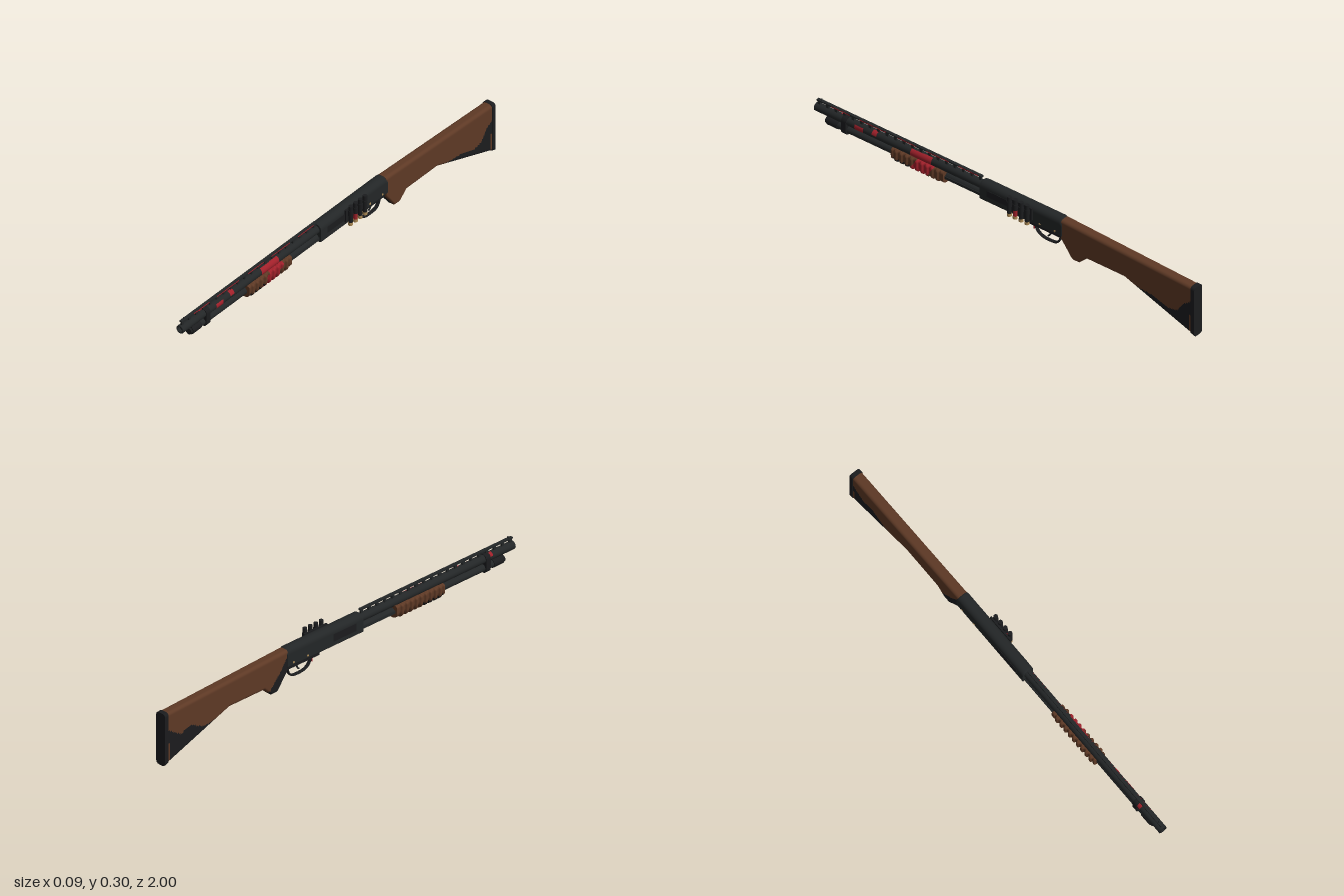
import * as THREE from 'three';

const CX = -0.011; // centre line of the gun
const material = (name, color) => {
  const m = new THREE.MeshStandardMaterial({ color, side: THREE.DoubleSide });
  m.name = name;
  return m;
};

// Value of a piecewise-linear curve given as [z, y] points with falling z
function curve(points, z) {
  if (z >= points[0][0]) return points[0][1];
  for (let i = 1; i < points.length; i++) {
    const [z0, y0] = points[i - 1], [z1, y1] = points[i];
    if (z >= z1) return y0 + (y1 - y0) * (z - z0) / (z1 - z0);
  }
  return points[points.length - 1][1];
}

// Rounded rectangle section, counter-clockwise seen from +z
function section(z, w, y0, y1, rBottom, rTop) {
  const out = [], n = 6;
  const corners = [[1, -1, rBottom, -90], [1, 1, rTop, 0], [-1, 1, rTop, 90], [-1, -1, rBottom, 180]];
  const arcs = corners.map(([sx, sy, r, start]) => {
    const arc = [];
    for (let i = 0; i <= n; i++) {
      const a = THREE.MathUtils.degToRad(start + 90 * i / n);
      arc.push(new THREE.Vector3(CX + sx * (w - r) + r * Math.cos(a), (sy < 0 ? y0 + r : y1 - r) + r * Math.sin(a), z));
    }
    return arc;
  });
  arcs.forEach((arc, k) => {
    out.push(...arc);
    const next = arcs[(k + 1) % 4][0], steps = k % 2 ? 4 : 24;
    for (let i = 1; i < steps; i++) out.push(arc[n].clone().lerp(next, i / steps));
  });
  return out;
}

// Skin through sections of rising z; rule picks a material slot for each face
function loft(rings, mats, rule = () => 0) {
  const n = rings[0].length, verts = rings.flat(), slots = mats.map(() => []);
  for (let i = 0; i < rings.length - 1; i++) for (let j = 0; j < n; j++) {
    const k = (j + 1) % n, a = i * n + j, b = i * n + k, c = b + n, d = a + n;
    const mid = verts[a].clone().add(verts[c]).multiplyScalar(0.5);
    slots[rule(mid)].push(a, b, c, a, c, d);
  }
  [rings[0], rings[rings.length - 1]].forEach((ring, end) => {
    const base = verts.length;
    verts.push(...ring);
    for (let j = 1; j < n - 1; j++) slots[0].push(base, base + (end ? j : j + 1), base + (end ? j + 1 : j));
  });
  const g = new THREE.BufferGeometry().setFromPoints(verts);
  g.setIndex(slots.flat());
  let start = 0;
  slots.forEach((s, i) => { g.addGroup(start, s.length, i); start += s.length; });
  g.computeVertexNormals();
  return new THREE.Mesh(g, mats);
}

function range(from, to, steps, make) {
  return Array.from({ length: steps + 1 }, (_, i) => make(from + (to - from) * i / steps));
}

export function createModel() {
  const group = new THREE.Group();
  const metal = material('gunmetal', 0x232627), black = material('black', 0x1b1c1e);
  const wood = material('wood', 0x5e3925), red = material('red', 0xa0202a), brass = material('brass', 0xb08d57);

  const add = (name, mesh, parent = group) => { mesh.name = name; parent.add(mesh); return mesh; };
  const box = (name, mat, w, h, d, x, y, z) => {
    const m = add(name, new THREE.Mesh(new THREE.BoxGeometry(w, h, d), mat));
    m.position.set(x, y, z);
    return m;
  };
  // Round part along z
  const rod = (name, mat, r, z0, z1, y, x = CX) => {
    const g = new THREE.CylinderGeometry(r, r, z1 - z0, 28).rotateX(Math.PI / 2);
    const m = add(name, new THREE.Mesh(g, mat));
    m.position.set(x, y, (z0 + z1) / 2);
    return m;
  };

  // Stock with pistol grip, dark along the toe and on the left of the grip
  const belly = [[-0.3, 0.172], [-0.325, 0.14], [-0.357, 0.097], [-0.39, 0.097], [-0.43, 0.135], [-0.63, 0.135], [-1, 0.003]];
  const comb = [[-0.3, 0.272], [-1, 0.242]];
  const toeRight = [[-0.62, 0.13], [-0.78, 0.112], [-0.86, 0.085], [-0.91, 0.095], [-0.95, 0.15], [-0.98, 0.17]];
  const toeLeft = [[-0.64, 0.12], [-0.78, 0.105], [-0.85, 0.14], [-0.91, 0.12], [-0.98, 0.165]];
  const gripLeft = [[-0.3, 0.25], [-0.34, 0.19], [-0.41, 0.11]];
  const stockRule = (p) => {
    if (p.z < -0.97 && p.y < 0.1) return 0;
    if (p.z < -0.62) return p.y < curve(p.x > CX ? toeRight : toeLeft, p.z) ? 1 : 0;
    return p.z > -0.41 && p.x < 0.004 && p.y < curve(gripLeft, p.z) ? 1 : 0;
  };
  const stockRing = (z, grow = 0) => section(z, 0.024 + grow, curve(belly, z) - grow, curve(comb, z) + grow, 0.014, 0.014);
  add('stock', loft(range(-0.98, -0.3, 136, z => stockRing(z)), [wood, black], stockRule));
  add('buttPad', loft(range(-1, -0.98, 2, z => stockRing(z, 0.002)), [black]));

  // Receiver with rounded top and panels
  add('receiver', loft([[-0.305, 0.268], [-0.292, 0.278], [0.115, 0.278], [0.125, 0.274]].map(([z, top]) =>
    section(z, 0.0275, 0.192, top, 0.006, 0.024)), [metal]));
  box('ejectionPanel', black, 0.004, 0.034, 0.13, CX - 0.0275, 0.232, 0.02);
  box('rightPanel', black, 0.004, 0.03, 0.11, CX + 0.0275, 0.235, 0.03);
  box('shellLifter', wood, 0.026, 0.004, 0.14, CX, 0.191, -0.02);
  box('triggerHousing', black, 0.034, 0.018, 0.19, CX, 0.185, -0.21);
  for (const z of [-0.19, -0.27]) {
    const pin = add('receiverPin', new THREE.Mesh(new THREE.CylinderGeometry(0.005, 0.005, 0.058, 12), brass));
    pin.rotation.z = Math.PI / 2;
    pin.position.set(CX, 0.207, z);
  }

  // Trigger guard and trigger
  const bow = new THREE.CatmullRomCurve3([[-0.148, 0.182], [-0.157, 0.152], [-0.18, 0.133], [-0.225, 0.127], [-0.26, 0.133],
    [-0.275, 0.15], [-0.284, 0.18]].map(([z, y]) => new THREE.Vector3(0, y, z)));
  const guard = add('triggerGuard', new THREE.Mesh(new THREE.TubeGeometry(bow, 40, 0.0045, 8), black));
  guard.scale.x = 2;
  guard.position.x = CX;
  const pull = new THREE.QuadraticBezierCurve3(new THREE.Vector3(CX, 0.182, -0.225),
    new THREE.Vector3(CX, 0.155, -0.232), new THREE.Vector3(CX, 0.145, -0.214));
  add('trigger', new THREE.Mesh(new THREE.TubeGeometry(pull, 10, 0.004, 8), metal));
  box('guardMark', red, 0.016, 0.014, 0.004, CX, 0.161, -0.146);

  // Barrel with open bore
  const bore = [[0.012, 0.9], [0.012, 1], [0.019, 1], [0.019, 0.12]].map(([r, z]) => new THREE.Vector2(r, z));
  const barrel = add('barrel', new THREE.Mesh(new THREE.LatheGeometry(bore, 32).rotateX(Math.PI / 2), metal));
  barrel.position.set(CX, 0.248, 0);
  const plug = add('bore', new THREE.Mesh(new THREE.CircleGeometry(0.0125, 24), black));
  plug.position.set(CX, 0.248, 0.985);

  // Magazine tube, cap and barrel clamp
  rod('magazineTube', metal, 0.016, 0.12, 0.9, 0.207);
  rod('magazineCap', black, 0.019, 0.88, 0.935, 0.207);
  rod('magazineTip', black, 0.015, 0.935, 0.945, 0.207);
  add('barrelClamp', loft([0.83, 0.855].map(z => section(z, 0.022, 0.185, 0.27, 0.02, 0.02)), [black]));
  for (const s of [-1, 1]) box('actionBar', metal, 0.004, 0.012, 0.24, CX + s * 0.018, 0.208, 0.23);

  // Sighting rib on posts, with bead
  box('rib', metal, 0.014, 0.007, 0.865, CX, 0.285, 0.5625);
  for (let i = 0; i < 20; i++) box('ribPost', metal, 0.009, 0.022, 0.012, CX, 0.274, 0.14 + i * 0.0445);
  for (const [z, d] of [[0.2, 0.1], [0.36, 0.12], [0.52, 0.1], [0.7, 0.14], [0.87, 0.1]])
    box('ribStripe', red, 0.002, 0.004, d, CX + 0.0068, 0.285, z);
  const bead = add('frontSight', new THREE.Mesh(new THREE.SphereGeometry(0.0045, 14, 10), metal));
  bead.position.set(CX, 0.2925, 0.975);

  // Red paint patches wrapped on the barrel
  const patch = (z, d, from, sweep) => {
    const g = new THREE.CylinderGeometry(0.0198, 0.0198, d, 14, 1, true, from, sweep).rotateX(Math.PI / 2);
    add('barrelPaint', new THREE.Mesh(g, red)).position.set(CX, 0.248, z);
  };
  patch(0.445, 0.1, 0.9, 1.9);
  patch(0.41, 0.05, 0.7, 2.2);
  patch(0.765, 0.045, 0.9, 1.3);
  patch(0.685, 0.025, 1.7, 1.4);
  patch(0.86, 0.025, 3.2, 1.2);

  // Ribbed pump grip
  const pumpRing = (z) => {
    const wave = 0.0035 * THREE.MathUtils.clamp(2.5 * Math.cos((z - 0.32) * 2 * Math.PI / 0.027), -1, 1);
    const flat = z < 0.33 || z > 0.58 ? 0 : wave;
    return section(z, 0.0295 + flat, 0.178 - flat, 0.236, 0.025, 0.01);
  };
  add('pumpGrip', loft(range(0.315, 0.588, 110, pumpRing), [wood, red, black], (p) => {
    const slant = p.z + (p.y - 0.205) * 0.6;
    if (p.x > -0.015 && slant > 0.385 && slant < 0.475) return 1;
    return p.y < 0.192 && p.z > 0.47 ? 2 : 0;
  }));

  // Side saddle with four shells
  box('shellCarrier', black, 0.008, 0.06, 0.13, 0.02, 0.24, -0.09);
  for (let i = 0; i < 4; i++) {
    const shell = new THREE.Group();
    const part = (name, mat, r, y0, y1) => {
      const m = add(name, new THREE.Mesh(new THREE.CylinderGeometry(r, r, y1 - y0, 20), mat), shell);
      m.position.y = (y0 + y1) / 2;
    };
    part('shellBase', brass, 0.0102, 0.193, 0.207);
    part('shellLower', i === 1 ? red : black, 0.0095, 0.207, 0.235);
    part('shellHull', black, 0.0095, 0.235, 0.288);
    part('shellLoop', black, 0.011, 0.24, 0.265);
    shell.position.set(0.0325, 0, -0.045 - i * 0.031);
    add('shell', shell);
  }
  return group;
}
